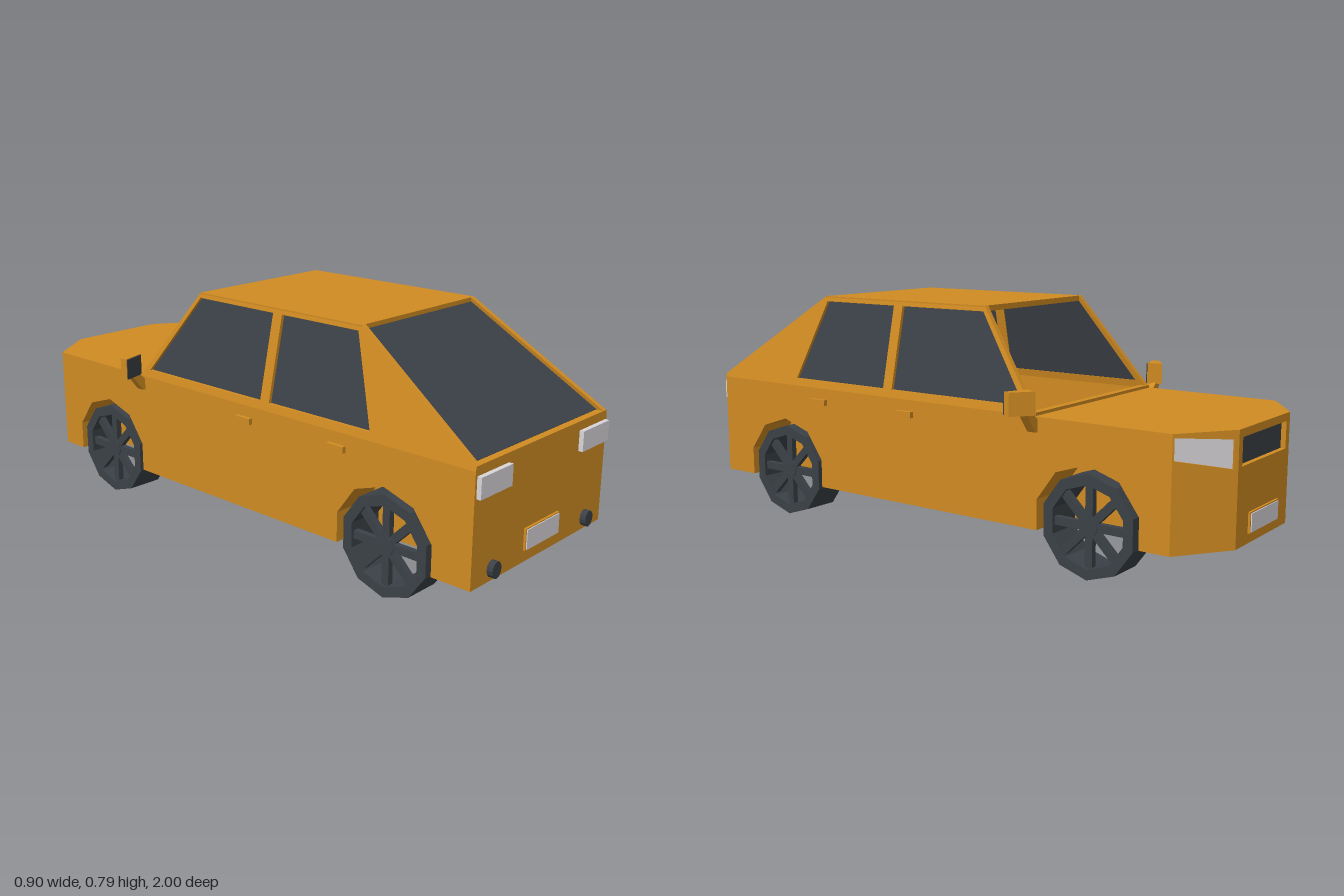
import * as THREE from 'three';

const mat = (name, color) =>
  new THREE.MeshStandardMaterial({ name, color, side: THREE.DoubleSide, flatShading: true });

export function createModel() {
  const paint = mat('orange paint', 0xd08b22);
  const dark = mat('dark glass and rubber', 0x3b4147);
  const light = mat('light lens', 0xd9d6d9);

  const car = new THREE.Group();
  car.name = 'car';

  const add = (name, geometry, material, parent = car) => {
    const mesh = new THREE.Mesh(geometry, material);
    mesh.name = name;
    parent.add(mesh);
    return mesh;
  };
  // Box given by its two extreme corners
  const box = (name, material, [x0, y0, z0], [x1, y1, z1]) => {
    const g = new THREE.BoxGeometry(Math.abs(x1 - x0), y1 - y0, z1 - z0);
    g.translate((x0 + x1) / 2, (y0 + y1) / 2, (z0 + z1) / 2);
    return add(name, g, material);
  };
  const vecs = (pts) => pts.map(([u, v]) => new THREE.Vector2(u, v));
  // Flat sheet with holes; map places (u, v, depth) in space
  const sheet = (name, material, pts, holes, depth, map) => {
    const shape = new THREE.Shape(vecs(pts));
    holes.forEach((h) => shape.holes.push(new THREE.Path(vecs(h))));
    const g = new THREE.ExtrudeGeometry(shape, { depth, bevelEnabled: false });
    const p = g.attributes.position;
    for (let i = 0; i < p.count; i++) p.setXYZ(i, ...map(p.getX(i), p.getY(i), p.getZ(i)));
    g.computeVertexNormals();
    return add(name, g, material);
  };
  const decagon = (r, cu = 0, cv = 0) => Array.from({ length: 10 }, (_, i) => {
    const a = Math.PI / 2 + (i * Math.PI) / 5;
    return [cu + r * Math.cos(a), cv + r * Math.sin(a)];
  });

  const bottom = 0.125, belt = 0.475, roofY = 0.788, axleY = 0.165;
  const half = 0.35, wellX = 0.21, wellHalf = 0.176;
  const axles = [0.67, -0.595];
  // Upper part of the wheel arch outline, from +z to -z
  const arch = (cz, r = 0.185) => {
    const h = r * Math.cos(Math.PI / 10);
    const top = decagon(r, cz, axleY).filter(([, y]) => y > axleY).sort((a, b) => b[0] - a[0]);
    return [[cz + h, bottom], ...top, [cz - h, bottom]];
  };

  // Floor with notches for the wheels
  const floorHalf = [[half, 0.98]];
  axles.forEach((z) => floorHalf.push([half, z + wellHalf], [wellX, z + wellHalf],
    [wellX, z - wellHalf], [half, z - wellHalf]));
  floorHalf.push([half, -0.87], [0.18, -0.99]);
  const mirrored = floorHalf.map(([x, z]) => [-x, z]).reverse();
  sheet('floor', paint, [...floorHalf, ...mirrored], [], 0.005, (u, v, d) => [u, bottom + d, v]);

  // Bonnet, roof, tail and sills
  sheet('bonnet', paint,
    [[half, -0.4], [half, -0.87], [0.18, -0.99], [-0.18, -0.99], [-half, -0.87], [-half, -0.4]],
    [], 0.005, (u, v, d) => [u, belt - d, v]);
  box('roof', paint, [-0.281, 0.77, -0.17], [0.281, roofY, 0.52]);
  box('tailPanel', paint, [-half, bottom, 0.97], [half, belt, 0.98]);
  box('hatchSill', paint, [-0.346, belt - 0.005, 0.95], [0.346, 0.489, 0.98]);
  box('windscreenSill', paint, [-0.345, belt - 0.01, -0.41], [0.345, 0.485, -0.385]);

  // Rear window, set between the pillars
  sheet('rearWindow', dark, [[-0.335, 0], [0.335, 0], [0.272, 1], [-0.272, 1]], [], 0.006,
    (u, v, d) => [u, 0.49 + v * 0.284 - d, 0.955 - v * 0.435]);

  // Nose with recessed grille
  const grille = [[-0.155, 0.365], [0.155, 0.365], [0.155, 0.45], [-0.155, 0.45]];
  sheet('nose', paint, [[-0.18, bottom], [0.18, bottom], [0.18, belt], [-0.18, belt]],
    [grille], 0.02, (u, v, d) => [u, v, -0.99 + d]);
  sheet('grille', dark, grille, [], 0.004, (u, v, d) => [u, v, -0.974 + d]);

  // Number plates
  box('frontPlateHolder', paint, [-0.1, 0.155, -0.997], [0.1, 0.22, -0.99]);
  box('frontPlate', light, [-0.095, 0.159, -1], [0.095, 0.216, -0.996]);
  box('rearPlateHolder', paint, [-0.09, 0.163, 0.98], [0.09, 0.232, 0.988]);
  box('rearPlate', light, [-0.087, 0.166, 0.987], [0.087, 0.229, 0.991]);

  const windows = [
    [[0.61, 0.5], [0.204, 0.5], [0.204, 0.772], [0.51, 0.772]],
    [[0.166, 0.5], [-0.366, 0.5], [-0.166, 0.772], [0.166, 0.772]],
  ];
  const slope = (y) => half - ((y - belt) * 0.07) / (roofY - belt);

  for (const s of [1, -1]) {
    // Lower side wall with wheel arches
    sheet('sideWall', paint,
      [[0.98, belt], [0.98, bottom], ...axles.flatMap((z) => arch(z)), [-0.87, bottom], [-0.87, belt]],
      [], 0.006, (u, v, d) => [s * (half - d), v, u]);

    // Sloping cabin side with pillars and windows
    sheet('cabinSide', paint,
      [[0.98, belt], [0.98, 0.488], [0.52, roofY], [-0.17, roofY], [-0.41, belt]],
      windows, 0.018, (u, v, d) => [s * (slope(v) - d), v, u]);
    windows.forEach((w) => sheet('sideWindow', dark, w, [], 0.004,
      (u, v, d) => [s * (slope(v) - 0.011 - d), v, u]));

    // Angled front corner with headlight
    const len = Math.hypot(0.17, 0.12), nx = 0.12 / len, nz = 0.17 / len;
    const corner = (inset) => (u, v, d) =>
      [s * (half - 0.17 * u - nx * (d + inset)), v, -0.87 - 0.12 * u + nz * (d + inset)];
    const lamp = [[0.03, 0.398], [0.93, 0.362], [0.93, 0.448], [0.03, 0.463]];
    sheet('frontCorner', paint, [[0, bottom], [1, bottom], [1, belt], [0, belt]], [lamp], 0.012, corner(0));
    sheet('headlight', light, lamp, [], 0.004, corner(0.007));

    // Rear light and exhaust
    box('rearLight', light, [s * 0.19, 0.395, 0.98], [s * 0.342, 0.46, 0.995]);
    const pipe = new THREE.CylinderGeometry(0.022, 0.022, 0.03, 12);
    pipe.rotateX(Math.PI / 2).scale(1, 1.18, 1).translate(s * 0.252, 0.163, 0.985);
    add('exhaust', pipe, dark);

    // Door handles
    for (const z of [0.46, 0.07])
      box('doorHandle', paint, [s * 0.345, 0.418, z], [s * 0.364, 0.438, z + 0.065]);

    // Wing mirror on a slanted arm
    sheet('mirrorArm', paint, [[0.345, 0.428], [0.36, 0.428], [0.408, 0.49], [0.375, 0.49], [0.345, 0.462]],
      [], 0.03, (u, v, d) => [s * u, v, -0.42 + d]);
    sheet('mirrorHousing', paint, [[0.366, -0.39], [0.386, -0.437], [0.452, -0.388], [0.445, -0.366]],
      [], 0.072, (u, v, d) => [s * u, 0.485 + d, v]);
    sheet('mirrorGlass', dark, [[0.367, 0.487], [0.444, 0.487], [0.444, 0.555], [0.367, 0.555]],
      [], 0.003, (u, v, d) => [s * u, v, -0.389 + (u - 0.366) * 0.304 + d]);

    for (const z of axles) {
      // Wheel well: arch strip and inner wall
      sheet('wheelArch', paint, [...arch(z, 0.19), ...arch(z).reverse()], [],
        half - wellX, (u, v, d) => [s * (wellX + d), v, u]);
      sheet('wheelWellWall', paint, arch(z), [], 0.004, (u, v, d) => [s * (wellX + d), v, u]);

      // Wheel: open tyre, rim spokes and hub
      const wheel = new THREE.Group();
      wheel.name = 'wheel';
      wheel.position.set(s * 0.22, 0.162, z);
      wheel.rotation.y = (s * Math.PI) / 2;
      car.add(wheel);
      const ring = new THREE.Shape(vecs(decagon(0.162)));
      ring.holes.push(new THREE.Path(vecs(decagon(0.128))));
      add('tyre', new THREE.ExtrudeGeometry(ring, { depth: 0.125, bevelEnabled: false }), dark, wheel);
      const hub = new THREE.CylinderGeometry(0.032, 0.032, 0.03, 8);
      hub.rotateX(Math.PI / 2).translate(0, 0, 0.103);
      add('hub', hub, dark, wheel);
      for (let i = 0; i < 8; i++) {
        const spoke = new THREE.BoxGeometry(0.026, 0.115, 0.02);
        spoke.translate(0, 0.075, 0.105).rotateZ((i * Math.PI) / 4);
        add('spoke', spoke, dark, wheel);
      }
    }
  }
  return car;
}
